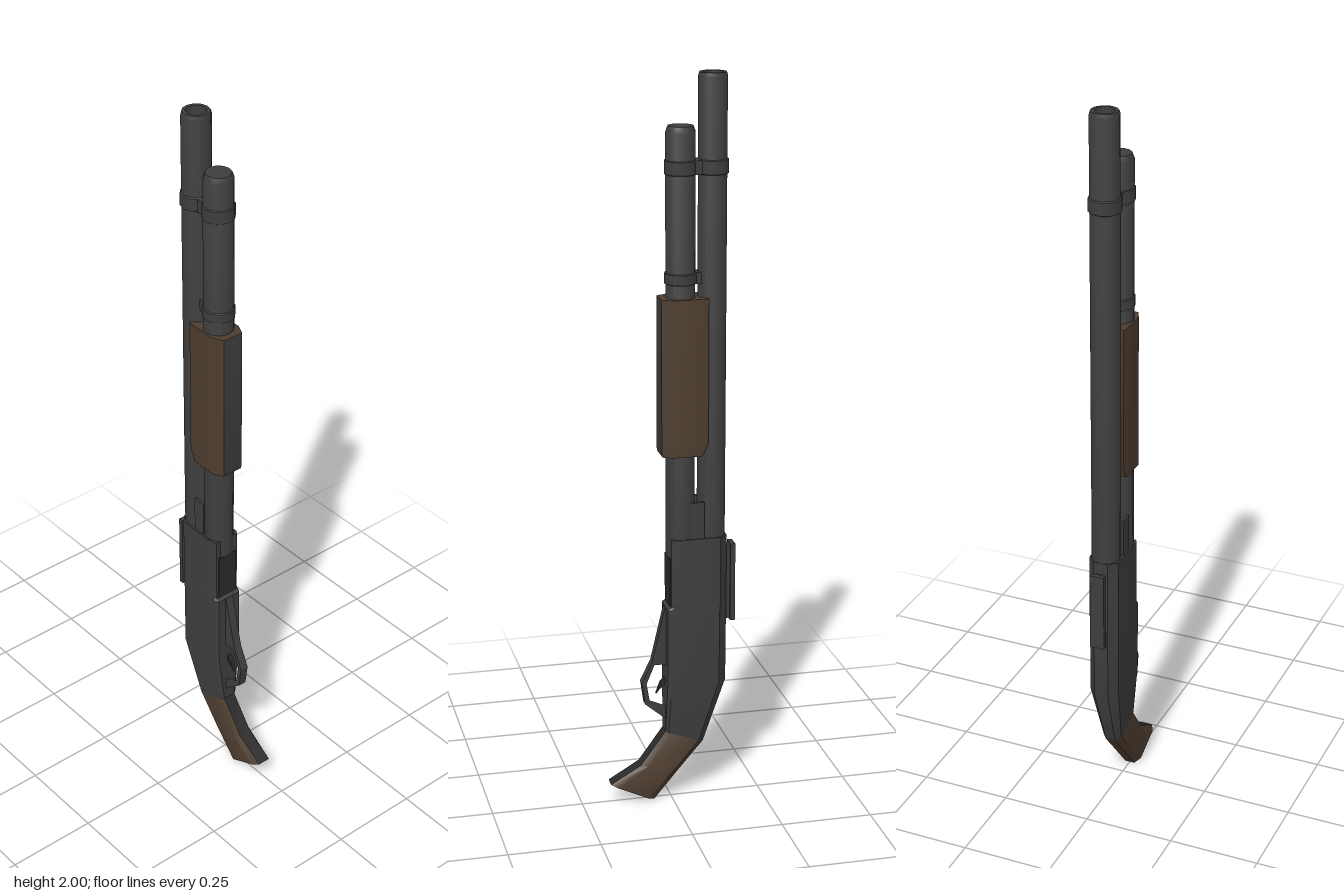
import * as THREE from 'three';
import { toCreasedNormals } from 'three/addons/utils/BufferGeometryUtils.js';

const mat = (name, color) => {
  const m = new THREE.MeshStandardMaterial({ color });
  m.name = name;
  return m;
};

// Loft of chamfered rectangles. Each station has a front [z, y], a back [z, y],
// half width w, front and back flat half widths, and chamfer depths (0..1).
// Group 0 is the front strip, group 1 the rest.
function loft(stations) {
  const rings = stations.map(({ f, b, w, wf, wb, cf = 0.15, cb = 0.15 }) =>
    [[-wf, 0], [wf, 0], [w, cf], [w, 1 - cb], [wb, 1], [-wb, 1], [-w, 1 - cb], [-w, cf]].map(([x, t]) =>
      [x, f[1] + (b[1] - f[1]) * t, f[0] + (b[0] - f[0]) * t]));
  const pos = [];
  const tri = (...p) => p.forEach((v) => pos.push(...v));
  let frontCount = 0;
  for (let k = 0; k < 8; k++) {
    const n = (k + 1) % 8;
    for (let i = 0; i < rings.length - 1; i++) {
      const lo = rings[i], hi = rings[i + 1];
      tri(lo[k], lo[n], hi[n]);
      tri(lo[k], hi[n], hi[k]);
    }
    if (k === 0) frontCount = pos.length / 3;
  }
  const bottom = rings[0], top = rings[rings.length - 1];
  for (let k = 1; k < 7; k++) {
    tri(top[0], top[k], top[k + 1]);
    tri(bottom[0], bottom[k + 1], bottom[k]);
  }
  const g = new THREE.BufferGeometry();
  g.setAttribute('position', new THREE.Float32BufferAttribute(pos, 3));
  g.addGroup(0, frontCount, 0);
  g.addGroup(frontCount, pos.length / 3 - frontCount, 1);
  return toCreasedNormals(g, 0.6);
}

// Side profile in (z, y), extruded across x
function sidePlate(points, width, hole) {
  const shape = new THREE.Shape(points.map(([z, y]) => new THREE.Vector2(z, y)));
  if (hole) shape.holes.push(new THREE.Path(hole.map(([z, y]) => new THREE.Vector2(z, y))));
  const g = new THREE.ExtrudeGeometry(shape, { depth: width, bevelEnabled: false });
  g.translate(0, 0, -width / 2);
  return g.rotateY(-Math.PI / 2);
}

// Turned part around a vertical axis at the given z
function turned(points, z) {
  const g = new THREE.LatheGeometry(points.map(([r, y]) => new THREE.Vector2(r, y)), 12);
  return toCreasedNormals(g, 0.7).translate(0, 0, z);
}

export function createModel() {
  const model = new THREE.Group();
  model.name = 'pumpShotgun';
  const metal = mat('gunmetal', 0x3e3e3f);
  const dark = mat('darkMetal', 0x2a2a2b);
  const wood = mat('brownWood', 0x4e3d2f);
  const add = (name, geometry, material) => {
    const mesh = new THREE.Mesh(geometry, material);
    mesh.name = name;
    model.add(mesh);
    return mesh;
  };
  const box = (name, w, h, d, x, y, z, material = metal) =>
    add(name, new THREE.BoxGeometry(w, h, d), material).position.set(x, y, z);

  const barrelZ = -0.111, tubeZ = -0.026;

  // Barrel with open bore, and magazine tube with bevelled cap
  add('barrel', turned([[0, 0.72], [0.039, 0.72], [0.039, 1.99], [0.036, 2], [0.027, 2], [0.026, 1.9], [0, 1.9]], barrelZ), metal);
  add('magazineTube', turned([[0, 0.71], [0.04, 0.71], [0.04, 1.85], [0.034, 1.866], [0, 1.866]], tubeZ), metal);

  // Clamp rings and the bridge between the tubes
  const ring = (name, z, y0, y1) =>
    add(name, turned([[0.03, y0], [0.043, y0 + 0.008], [0.043, y1 - 0.008], [0.03, y1]], z), metal);
  ring('tubeClamp', tubeZ, 1.735, 1.785);
  ring('barrelClamp', barrelZ, 1.735, 1.785);
  ring('tubeCollar', tubeZ, 1.45, 1.492);
  box('clampBridge', 0.05, 0.036, 0.06, 0, 1.76, -0.069);
  box('collarLug', 0.04, 0.03, 0.04, 0, 1.471, -0.064);

  // Sliding fore-end: wooden sides with a metal front strip
  const fore = { w: 0.044, wf: 0.03, wb: 0.042, cf: 0.24, cb: 0.1 };
  add('foreEnd', loft([
    { ...fore, f: [0.028, 0.995], b: [-0.078, 0.995] },
    { ...fore, f: [0.031, 1.005], b: [-0.093, 1.03] },
    { ...fore, f: [0.031, 1.42], b: [-0.093, 1.42] },
  ]), [metal, wood]);

  // Action bars entering the receiver
  for (const s of [-1, 1]) box('actionBar', 0.008, 0.13, 0.038, s * 0.034, 0.8, -0.065);

  // Receiver, tapering into the grip
  const body = { w: 0.042, wf: 0.036, wb: 0.02, cf: 0.06, cb: 0.14 };
  add('receiver', loft([
    { ...body, w: 0.027, wf: 0.018, wb: 0.014, f: [0.018, 0.205], b: [-0.088, 0.165] },
    { ...body, f: [0.016, 0.36], b: [-0.149, 0.345] },
    { ...body, f: [0.016, 0.565], b: [-0.15, 0.565] },
    { ...body, f: [0.006, 0.572], b: [-0.15, 0.572] },
    { ...body, f: [0.006, 0.763], b: [-0.15, 0.763] },
  ]), [metal, metal]);
  box('loadingPort', 0.06, 0.135, 0.004, 0, 0.641, 0.007, dark);

  // Rail on the back of the receiver
  box('railBase', 0.026, 0.21, 0.02, 0, 0.625, -0.156);
  box('railTop', 0.04, 0.22, 0.013, 0, 0.625, -0.1685);

  // Pistol grip with dark front strip
  const grip = { w: 0.027, wf: 0.018, wb: 0.014 };
  add('grip', loft([
    { ...grip, f: [0.172, 0.06], b: [0.05, 0.003] },
    { ...grip, f: [0.087, 0.11], b: [-0.02, 0.086] },
    { ...grip, f: [0.018, 0.205], b: [-0.088, 0.165] },
  ]), [dark, wood]);

  // Trigger guard and trigger
  add('triggerGuard', sidePlate(
    [[0, 0.565], [0.018, 0.565], [0.054, 0.41], [0.083, 0.35], [0.074, 0.287], [0.012, 0.235], [0, 0.26]], 0.024,
    [[0.048, 0.4], [0.07, 0.347], [0.062, 0.298], [0.01, 0.275], [0.01, 0.4]]), metal);
  add('trigger', sidePlate([[0.005, 0.37], [0.03, 0.345], [0.042, 0.312], [0.032, 0.325], [0.005, 0.345]], 0.01), dark);

  return model;
}
